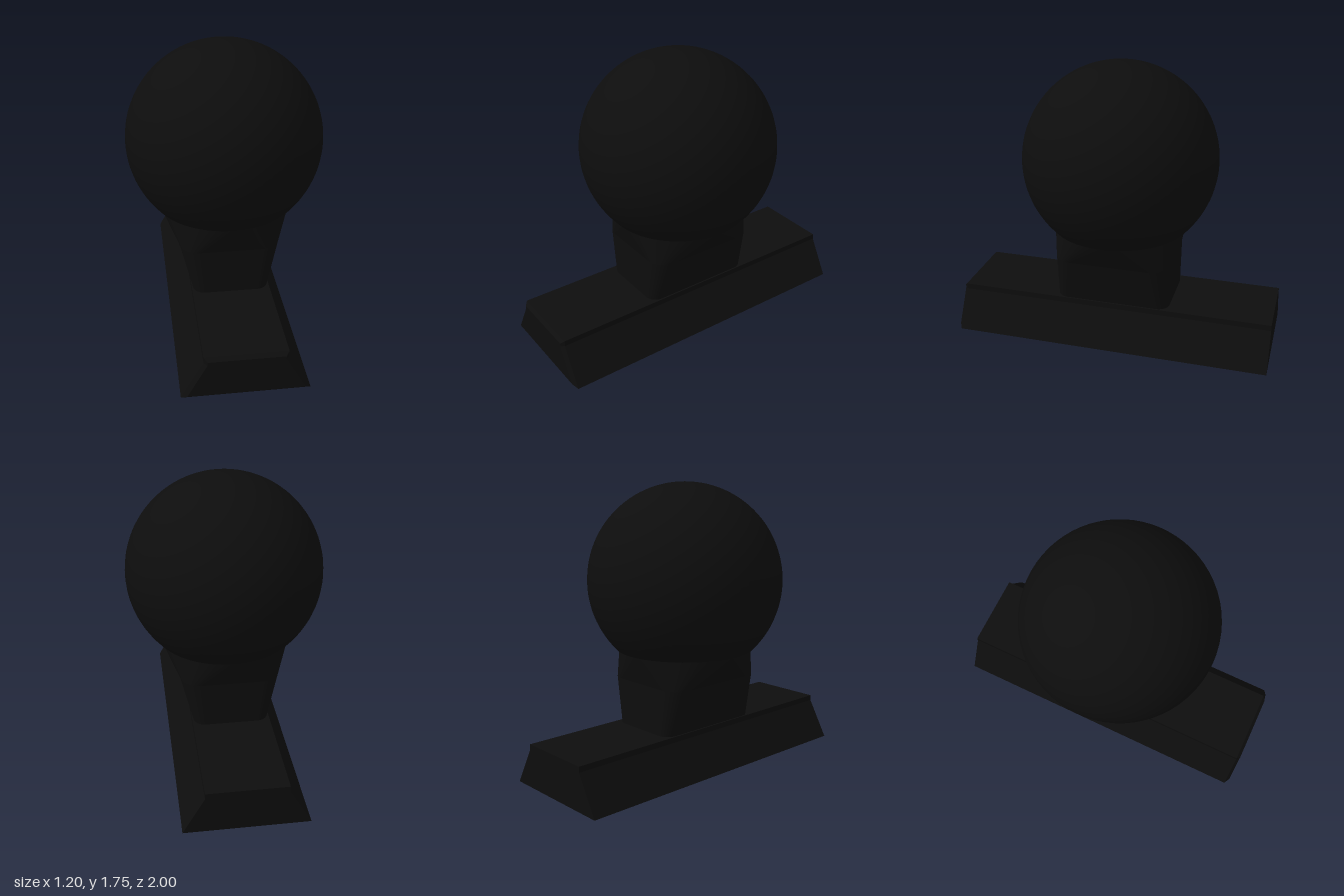
import * as THREE from 'three';

// Joins matching rings of points into a skin; rings run counter-clockwise seen from the end they progress to.
function loft(rings) {
  const n = rings[0].length;
  const positions = rings.flat().flatMap((p) => p.toArray());
  const index = [];
  for (let i = 0; i < rings.length - 1; i++) {
    for (let j = 0; j < n; j++) {
      const a = i * n + j;
      const b = i * n + ((j + 1) % n);
      index.push(a, b, b + n, a, b + n, a + n);
    }
  }
  const geometry = new THREE.BufferGeometry();
  geometry.setAttribute('position', new THREE.Float32BufferAttribute(positions, 3));
  geometry.setIndex(index);
  return geometry;
}

// Horizontal rounded rectangle; becomes a circle when all three sizes match.
function roundedRing(y, halfX, halfZ, radius, steps = 10) {
  const ring = [];
  const corners = [[1, 1], [-1, 1], [-1, -1], [1, -1]];
  corners.forEach(([sx, sz], c) => {
    for (let k = 0; k <= steps; k++) {
      const a = (c + k / steps) * Math.PI / 2;
      const x = sx * (halfX - radius) + radius * Math.cos(a);
      const z = sz * (halfZ - radius) + radius * Math.sin(a);
      ring.push(new THREE.Vector3(x, y, -z));
    }
  });
  return ring;
}

// Upright section at a given z, mirrored from its right half.
function railRing(half, z) {
  const mirrored = half.map(([x, y]) => [-x, y]).reverse();
  return [...half, ...mirrored].map(([x, y]) => new THREE.Vector3(x, y, z));
}

export function createModel() {
  const model = new THREE.Group();
  const black = new THREE.MeshStandardMaterial({ color: 0x0d0d0d });
  black.name = 'matte black';

  const add = (name, geometry, parent = model) => {
    const mesh = new THREE.Mesh(geometry, black);
    mesh.name = name;
    parent.add(mesh);
    return mesh;
  };

  // Dovetail rail with a small lip on top and a bevelled front end
  const outer = [[0.37, 0], [0.24, 0.23], [0.24, 0.265]];
  const inset = [[0.335, 0.02], [0.22, 0.225], [0.22, 0.245]];
  const rings = [railRing(outer, -1), railRing(outer, 0.98), railRing(inset, 1)];
  const rail = loft(rings);
  const index = Array.from(rail.index.array);
  const last = rings.length - 1;
  const capFaces = (ring) => THREE.ShapeUtils.triangulateShape(
    ring.map((p) => new THREE.Vector2(p.x, p.y)), []);
  capFaces(rings[0]).forEach(([a, b, c]) => index.push(a, c, b));
  capFaces(rings[last]).forEach((f) => index.push(...f.map((i) => i + last * 6)));
  rail.setIndex(index);
  const flatRail = rail.toNonIndexed();
  flatRail.computeVertexNormals();
  add('dovetailRail', flatRail);

  // Neck: tapered block that flares into a round collar
  const neck = new THREE.Group();
  neck.name = 'neck';
  model.add(neck);
  const foot = roundedRing(0.26, 0.23, 0.36, 0.07);
  const waist = roundedRing(0.55, 0.305, 0.36, 0.12);
  const collar = roundedRing(0.73, 0.41, 0.41, 0.41);
  [['neckStem', foot, waist], ['neckFlare', waist, collar]].forEach(([name, low, high]) => {
    const part = loft([low, high]);
    part.computeVertexNormals();
    add(name, part, neck);
  });

  // Ball, cut flat underneath
  const radius = 0.6;
  const centreY = 1.15;
  const cutY = 0.73;
  const theta = Math.acos((cutY - centreY) / radius);
  add('ball', new THREE.SphereGeometry(radius, 64, 40, 0, Math.PI * 2, 0, theta))
    .position.y = centreY;
  const underside = new THREE.CircleGeometry(radius * Math.sin(theta), 64);
  underside.rotateX(Math.PI / 2);
  add('ballUnderside', underside).position.y = cutY;

  return model;
}
